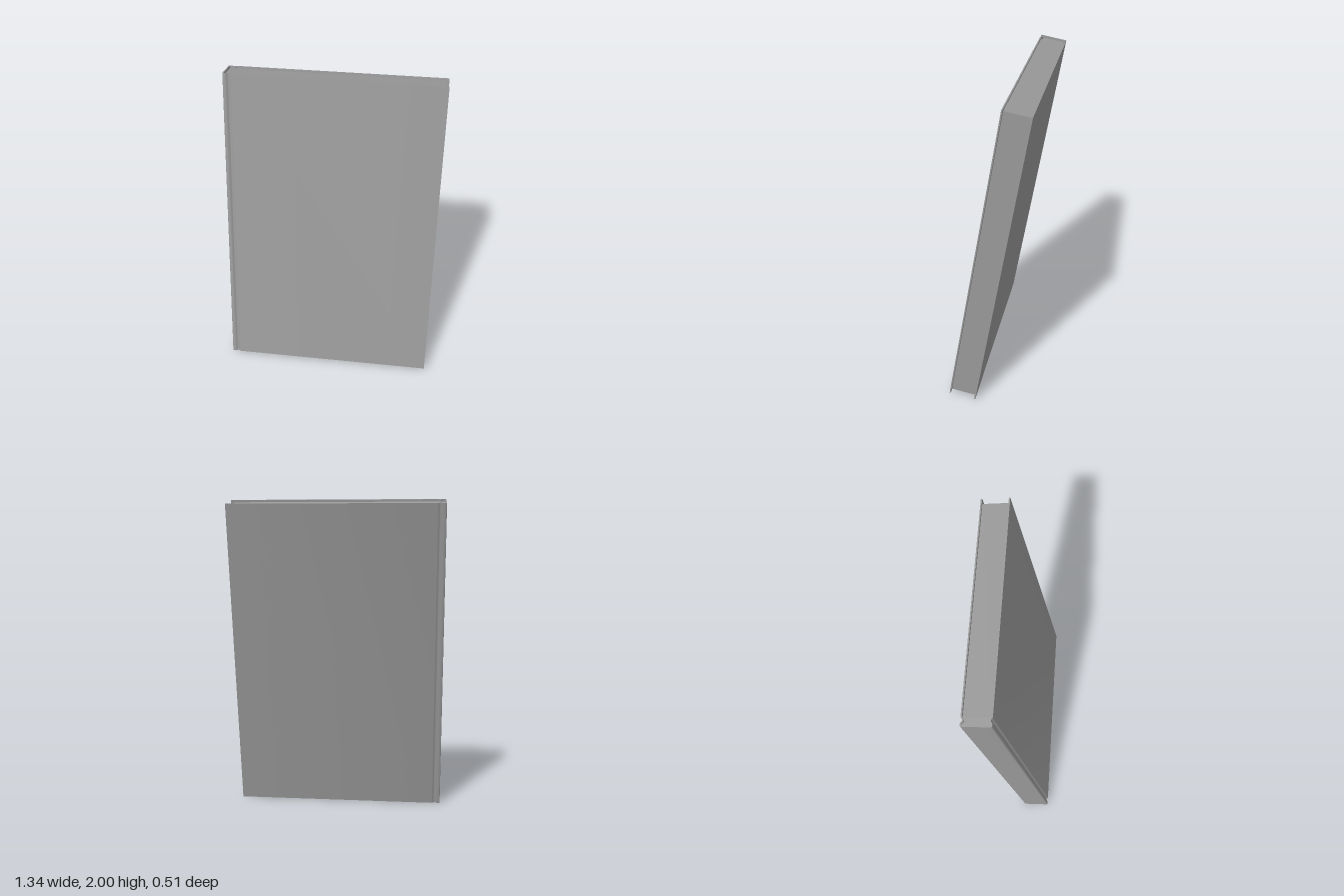
import * as THREE from 'three';
import { toCreasedNormals } from 'three/addons/utils/BufferGeometryUtils.js';

const HEIGHT = 2, HALF_W = 0.671, HALF_T = 0.085, BOARD = 0.008;
const FORE_INSET = 0.025, END_INSET = 0.014;
const GROOVE_X = -0.634, GROOVE_HALF = 0.019, GROOVE_DEPTH = 0.01;

// One side of the book's cross-section, from the fore-edge to the spine
function sideProfile(foreEdge, offset) {
  const t = HALF_T - offset;
  const pts = [[foreEdge, t]];
  for (let i = 0; i <= 12; i++) {
    const u = 1 - i / 6;
    const dip = GROOVE_DEPTH * 0.5 * (1 + Math.cos(Math.PI * u));
    pts.push([GROOVE_X + u * GROOVE_HALF, t - dip]);
  }
  const r = 0.008, spine = -HALF_W + offset;
  for (let i = 0; i <= 4; i++) {
    const a = Math.PI / 2 * (1 + i / 4);
    pts.push([spine + r + r * Math.cos(a), t - r + r * Math.sin(a)]);
  }
  return pts;
}

// Both sides joined around the spine
function wrapProfile(foreEdge, offset) {
  const half = sideProfile(foreEdge, offset);
  const mirrored = half.map(([x, y]) => [x, -y]).reverse();
  return [...half, ...mirrored].map(([x, y]) => new THREE.Vector2(x, y));
}

function extrudeUpright(name, points, height) {
  const geo = new THREE.ExtrudeGeometry(new THREE.Shape(points), { depth: height, bevelEnabled: false });
  geo.translate(0, 0, -height / 2);
  geo.rotateX(-Math.PI / 2);
  const mesh = new THREE.Mesh(
    toCreasedNormals(geo, Math.PI / 5),
    new THREE.MeshStandardMaterial({ color: 0x999999 })
  );
  mesh.name = name;
  return mesh;
}

export function createModel() {
  const group = new THREE.Group();
  group.name = 'leaningBook';

  const book = new THREE.Group();
  book.name = 'book';

  // Hard cover: two boards and the spine in one folded sheet, with hinge grooves
  const outer = wrapProfile(HALF_W, 0);
  const inner = wrapProfile(HALF_W, BOARD).reverse();
  book.add(extrudeUpright('cover', [...outer, ...inner], HEIGHT));

  // Page block, set back from the cover's three open edges
  book.add(extrudeUpright('pages', wrapProfile(HALF_W - FORE_INSET, BOARD), HEIGHT - 2 * END_INSET));

  // Lean back and stand on the lower back edge
  const lean = THREE.MathUtils.degToRad(10);
  book.rotation.x = -lean;
  book.position.y = HEIGHT / 2 * Math.cos(lean) + HALF_T * Math.sin(lean);
  group.add(book);
  return group;
}
